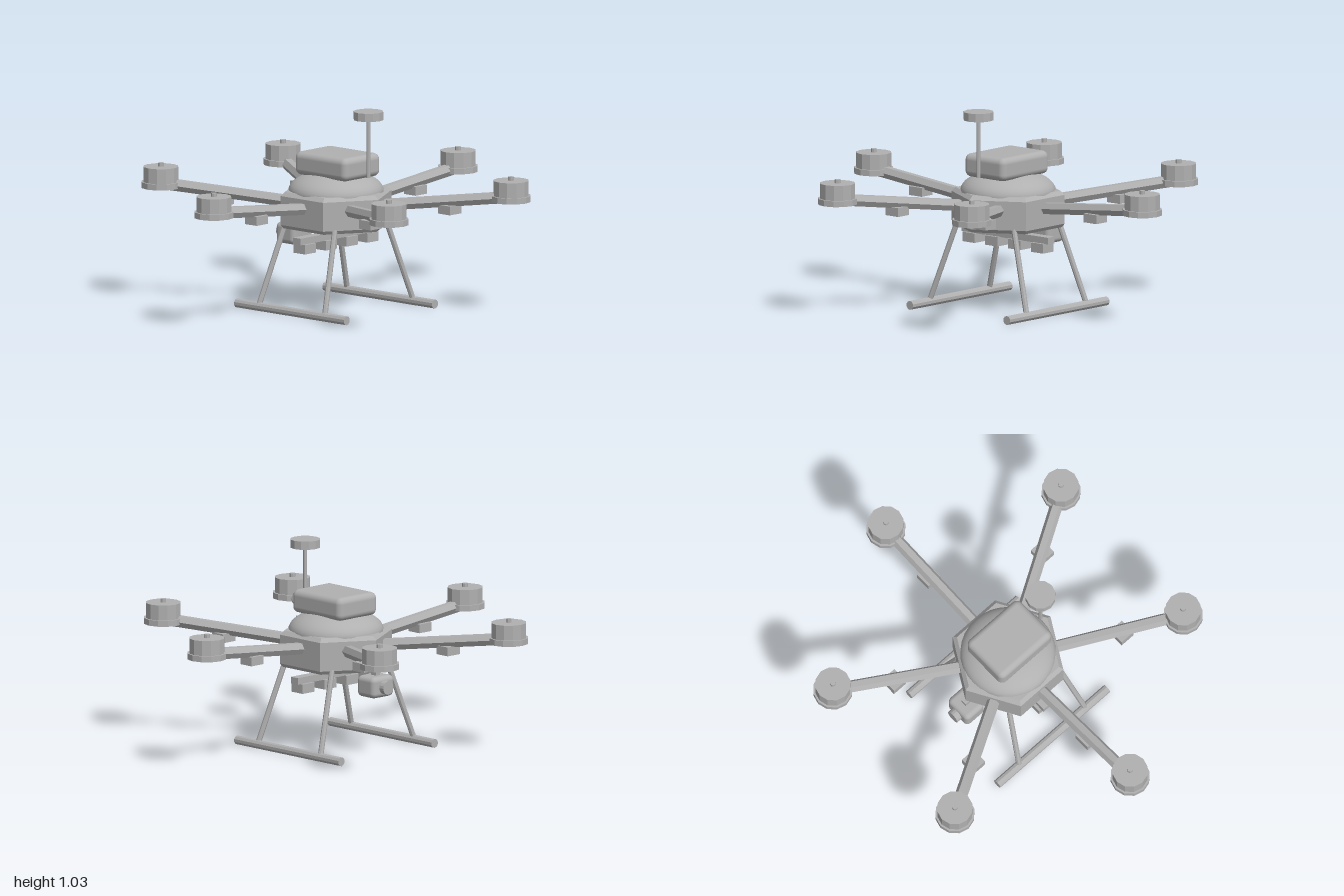
import * as THREE from 'three';
import { toCreasedNormals } from 'three/addons/utils/BufferGeometryUtils.js';
import { RoundedBoxGeometry } from 'three/addons/geometries/RoundedBoxGeometry.js';

const grey = new THREE.MeshStandardMaterial({ color: 0xb0b0b0 });
grey.name = 'grey';

const faceted = (geo) => toCreasedNormals(geo, 0.3);

function add(parent, name, geo, x = 0, y = 0, z = 0) {
  const mesh = new THREE.Mesh(geo, grey);
  mesh.name = name;
  mesh.position.set(x, y, z);
  parent.add(mesh);
  return mesh;
}

const box = (w, h, d) => new THREE.BoxGeometry(w, h, d);
const disc = (r, h, sides = 12) => faceted(new THREE.CylinderGeometry(r, r, h, sides));

// Straight rod between two points
function rod(parent, name, a, b, r, sides) {
  const dir = b.clone().sub(a);
  const mesh = add(parent, name, disc(r, dir.length(), sides));
  mesh.position.copy(a).add(b).multiplyScalar(0.5);
  mesh.quaternion.setFromUnitVectors(new THREE.Vector3(0, 1, 0), dir.normalize());
}

function buildBody(model) {
  // Six-sided hull with bevelled rims, points facing front and back
  const profile = [[0, 0.42], [0.275, 0.42], [0.29, 0.438], [0.29, 0.585], [0.268, 0.605], [0, 0.605]];
  add(model, 'hull', faceted(new THREE.LatheGeometry(profile.map(([r, y]) => new THREE.Vector2(r, y)), 6)));

  // Flattened dome and battery on top
  const dome = new THREE.SphereGeometry(0.24, 32, 10, 0, Math.PI * 2, 0, Math.PI / 2);
  dome.scale(1, 0.45, 1);
  add(model, 'dome', dome, 0, 0.597, 0);
  add(model, 'battery', new RoundedBoxGeometry(0.27, 0.118, 0.355, 4, 0.032), 0, 0.736, 0.01);

  // Navigation mast
  add(model, 'mast', disc(0.01, 0.3, 8), 0, 0.84, 0.222);
  add(model, 'antennaDisc', disc(0.076, 0.042), 0, 1.007, 0.222);
}

function buildArm(model, angle) {
  const arm = new THREE.Group();
  arm.name = 'armUnit';
  arm.rotation.y = angle;
  model.add(arm);

  // Hexagonal arm rising outwards from the hull
  const beam = disc(0.032, 0.7, 6).rotateZ(-Math.PI / 2).rotateZ(0.1);
  add(arm, 'arm', beam, 0.55, 0.566, 0);

  // Motor: base plate, bell and shaft
  add(arm, 'motorBase', disc(0.1, 0.03), 0.9, 0.594, 0);
  add(arm, 'motorBell', disc(0.09, 0.077), 0.9, 0.647, 0);
  add(arm, 'motorShaft', disc(0.015, 0.02, 8), 0.9, 0.694, 0);

  // Speed controller below the arm, kept square to the hull
  add(model, 'speedController', box(0.085, 0.045, 0.08),
    0.585 * Math.cos(angle), 0.527, -0.585 * Math.sin(angle));
}

function buildLandingGear(model) {
  for (const sx of [1, -1]) {
    rod(model, 'skid', new THREE.Vector3(sx * 0.325, 0.023, -0.375),
      new THREE.Vector3(sx * 0.325, 0.023, 0.375), 0.023, 10);
    for (const sz of [1, -1]) {
      rod(model, 'leg', new THREE.Vector3(sx * 0.325, 0.03, sz * 0.225),
        new THREE.Vector3(sx * 0.19, 0.44, sz * 0.168), 0.014, 8);
    }
  }
}

function buildPayload(model) {
  // Sensor bar with four blocks under the hull
  add(model, 'sensorPost', disc(0.012, 0.05, 8), 0, 0.41, 0);
  add(model, 'sensorBar', box(0.58, 0.034, 0.05), 0, 0.376, 0);
  for (const x of [-0.23, -0.077, 0.077, 0.23]) {
    add(model, 'sensorBlock', box(0.082, 0.048, 0.08), x, 0.336, 0);
  }

  // Camera at the back
  add(model, 'cameraPost', box(0.03, 0.04, 0.035), 0, 0.412, -0.285);
  add(model, 'cameraBody', new RoundedBoxGeometry(0.15, 0.108, 0.128, 4, 0.026), 0, 0.354, -0.285);
  add(model, 'cameraLens', disc(0.035, 0.05, 16).rotateX(Math.PI / 2), 0, 0.354, -0.353);
}

export function createModel() {
  const model = new THREE.Group();
  model.name = 'sixRotorDrone';
  buildBody(model);
  for (let i = 0; i < 6; i++) buildArm(model, (i * Math.PI) / 3);
  buildLandingGear(model);
  buildPayload(model);
  return model;
}
